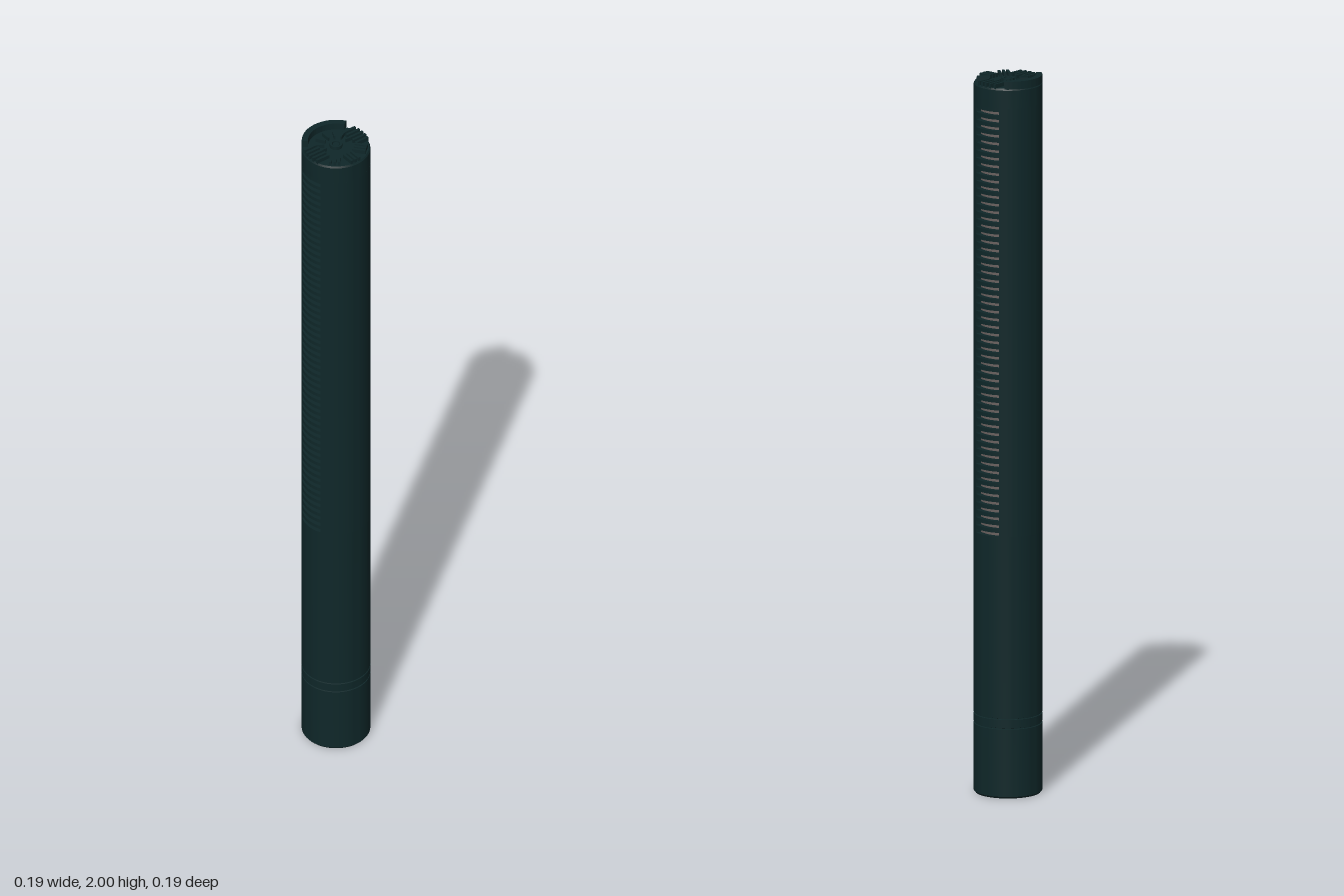
import * as THREE from 'three';
import { toCreasedNormals } from 'three/addons/utils/BufferGeometryUtils.js';

const R = 0.093, CORE = 0.079;
const SLOT_BOTTOM = 0.73, SLOT_TOP = 1.925, SLOTS = 56;
const SLOT_HALF = 0.46; // half angle of each slotted band

const casing = new THREE.MeshStandardMaterial({ color: 0x0f2729 });
casing.name = 'dark green casing';
const grille = new THREE.MeshStandardMaterial({ color: 0x6a615f });
grille.name = 'grey inner grille';

export function createModel() {
  const model = new THREE.Group();
  model.name = 'shotgunMicrophone';

  const add = (name, geometry, material = casing, parent = model) => {
    const mesh = new THREE.Mesh(geometry, material);
    mesh.name = name;
    parent.add(mesh);
    return mesh;
  };
  const group = (name) => {
    const g = new THREE.Group();
    g.name = name;
    model.add(g);
    return g;
  };
  const lathe = (points) => toCreasedNormals(
    new THREE.LatheGeometry(points.map(([r, y]) => new THREE.Vector2(r, y)), 64), 0.5);

  // Upright ring sector centred on the given angle (0 = +x, PI/2 = back)
  const sector = (inner, outer, angle, half, height) => {
    const shape = new THREE.Shape();
    shape.absarc(0, 0, outer, angle - half, angle + half, false);
    shape.absarc(0, 0, inner, angle + half, angle - half, true);
    shape.closePath();
    const g = new THREE.ExtrudeGeometry(shape, { depth: height, bevelEnabled: false, curveSegments: 24 });
    g.rotateX(-Math.PI / 2);
    return toCreasedNormals(g, 0.5);
  };

  // Handle with two fine seam grooves
  const handle = [[0, 0], [R - 0.004, 0], [R, 0.005]];
  for (const y of [0.195, 0.222]) {
    handle.push([R, y - 0.002], [R - 0.003, y - 0.001], [R - 0.003, y + 0.001], [R, y + 0.002]);
  }
  handle.push([R, SLOT_BOTTOM], [0, SLOT_BOTTOM]);
  add('handle', lathe(handle));

  // Inner grille tube seen through the slots
  const span = SLOT_TOP - SLOT_BOTTOM;
  add('innerGrille', new THREE.CylinderGeometry(CORE, CORE, span, 48, 1, true), grille)
    .position.y = (SLOT_TOP + SLOT_BOTTOM) / 2;

  // Solid front and back walls of the interference tube
  const wall = sector(CORE - 0.002, R, Math.PI / 2, Math.PI / 2 - SLOT_HALF, span);
  for (const [name, turn] of [['backWall', 0], ['frontWall', Math.PI]]) {
    const m = add(name, wall);
    m.position.y = SLOT_BOTTOM;
    m.rotation.y = turn;
  }

  // Thin ribs between the side slots
  const pitch = span / SLOTS;
  const rib = sector(CORE - 0.002, R, 0, SLOT_HALF, pitch * 0.5);
  for (const [name, turn] of [['leftRibs', 0], ['rightRibs', Math.PI]]) {
    const side = group(name);
    for (let i = 0; i < SLOTS; i++) {
      const m = add('rib', rib, casing, side);
      m.position.y = SLOT_BOTTOM + (i + 0.5) * pitch;
      m.rotation.y = turn;
    }
  }

  // End cap with a recessed floor
  add('endCap', lathe([[0, SLOT_TOP], [R, SLOT_TOP], [R, 1.975], [R - 0.003, 1.98], [0, 1.98]]));
  add('rearRim', sector(0.076, R, Math.PI / 2, 0.95, 0.022)).position.y = 1.978;

  // Raised bars on the cap
  const bars = group('capBars');
  const bar = (x, z, length, turn, width = 0.007) => {
    const m = add('bar', new THREE.BoxGeometry(length, 0.014, width), casing, bars);
    m.position.set(x, 1.984, z);
    m.rotation.y = turn;
  };
  for (const side of [-1, 1]) {
    for (const z of [-0.028, -0.014, 0, 0.014, 0.028]) {
      const end = Math.sqrt((R - 0.002) ** 2 - z * z);
      bar(side * (0.046 + end) / 2, z, end - 0.046, 0);
    }
  }
  for (const x of [-0.012, 0, 0.012]) bar(x, 0.07, 0.038, Math.PI / 2);
  for (const side of [-1, 1]) {
    for (const offset of [-0.012, 0, 0.012]) {
      const a = Math.PI / 4 + 0.1;
      bar(side * (0.067 * Math.cos(a) - offset * Math.sin(a)),
        0.067 * Math.sin(a) + offset * Math.cos(a), 0.036, -side * a);
    }
  }
  for (let i = 0; i < 7; i++) {
    const a = Math.PI * (1 + i / 6);
    bar(0.046 * Math.cos(a), 0.046 * Math.sin(a), 0.028, -a, 0.005);
  }

  // Central screw
  add('screwCollar', sector(0.011, 0.017, 0, Math.PI * 0.9999, 0.012)).position.y = 1.978;
  add('screwHead', new THREE.CylinderGeometry(0.009, 0.009, 0.01, 24)).position.y = 1.983;

  return model;
}
